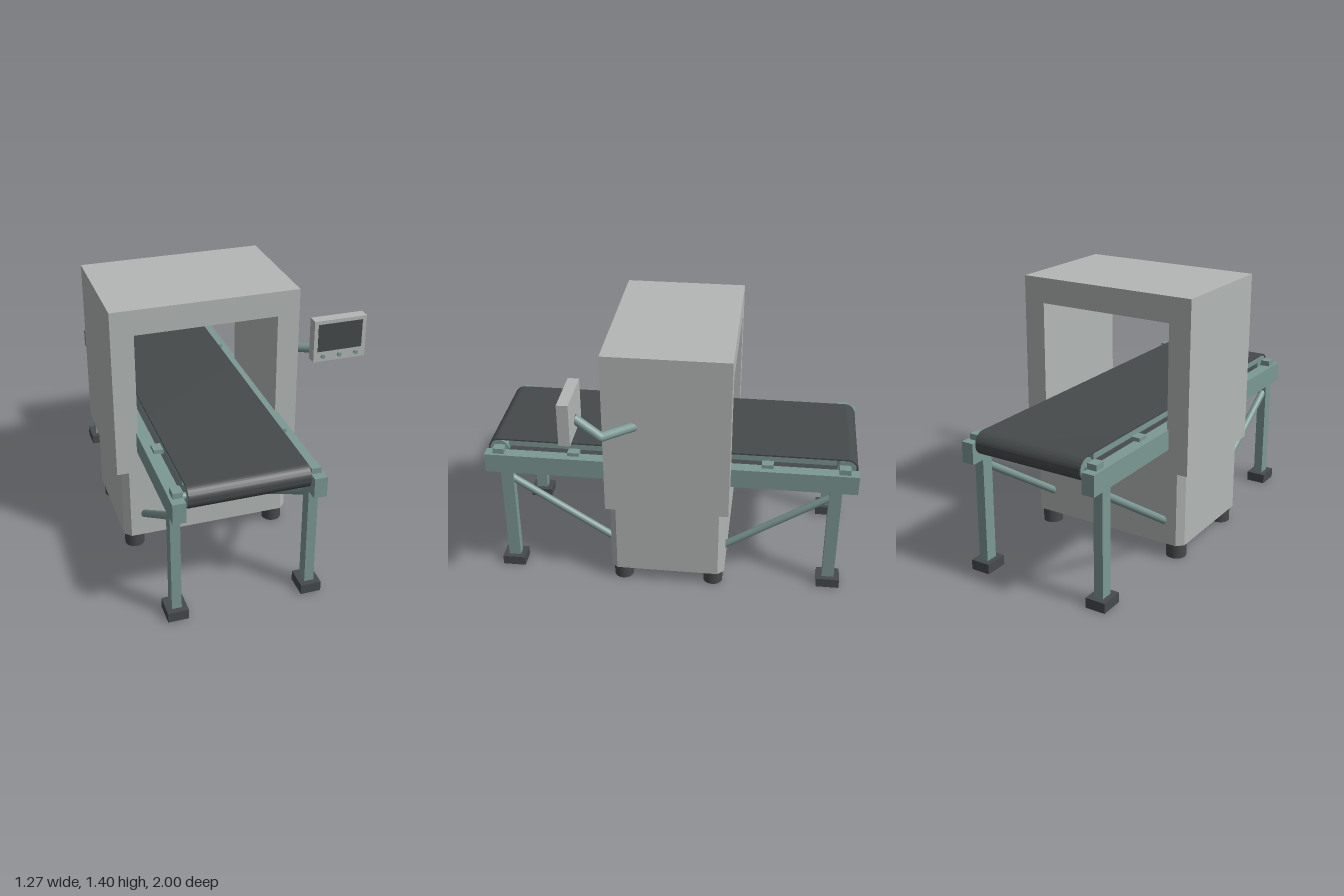
import * as THREE from 'three';
import { toCreasedNormals } from 'three/addons/utils/BufferGeometryUtils.js';

const CX = -0.15; // centre line of the conveyor and the housing

export function createModel() {
  const mat = (name, color) => {
    const m = new THREE.MeshStandardMaterial({ color });
    m.name = name;
    return m;
  };
  const grey = mat('housing grey', 0xb3b7b5);
  const teal = mat('frame teal', 0x7c9894);
  const dark = mat('rubber dark', 0x464a4b);

  const model = new THREE.Group();
  model.name = 'conveyorScanner';

  const add = (name, geo, material, x = 0, y = 0, z = 0) => {
    const mesh = new THREE.Mesh(geo, material);
    mesh.name = name;
    mesh.position.set(x, y, z);
    model.add(mesh);
    return mesh;
  };
  // Box given by its limits on each axis
  const box = (name, material, x0, x1, y0, y1, z0, z1) =>
    add(name, new THREE.BoxGeometry(x1 - x0, y1 - y0, z1 - z0), material,
      (x0 + x1) / 2, (y0 + y1) / 2, (z0 + z1) / 2);
  // Round bar between two points
  const rod = (name, material, a, b, r) => {
    const p = new THREE.Vector3(...a), q = new THREE.Vector3(...b);
    const dir = q.clone().sub(p);
    const mesh = add(name, new THREE.CylinderGeometry(r, r, dir.length(), 20), material);
    mesh.position.copy(p).add(q).multiplyScalar(0.5);
    mesh.quaternion.setFromUnitVectors(new THREE.Vector3(0, 1, 0), dir.normalize());
    return mesh;
  };
  const rectangle = (P, x0, x1, y0, y1) =>
    new P().moveTo(x0, y0).lineTo(x1, y0).lineTo(x1, y1).lineTo(x0, y1).closePath();
  const extrude = (shape, depth) =>
    new THREE.ExtrudeGeometry(shape, { depth, bevelEnabled: false, curveSegments: 20 });

  // Portal housing with its tunnel
  const portal = rectangle(THREE.Shape, -0.64, 0.336, 0.49, 1.396);
  portal.holes.push(rectangle(THREE.Path, -0.522, 0.22, 0.637, 1.263));
  add('portalHousing', extrude(portal, 0.66), grey, 0, 0, -0.33);

  // Base cabinet with chamfered corners
  const w = 0.458, d = 0.313, c = 0.034;
  const plan = new THREE.Shape([
    [w, -d + c], [w, d - c], [w - c, d], [-w + c, d],
    [-w, d - c], [-w, -d + c], [-w + c, -d], [w - c, -d],
  ].map(([x, y]) => new THREE.Vector2(x, y)));
  const base = extrude(plan, 0.41);
  base.rotateX(-Math.PI / 2);
  add('baseCabinet', base, grey, CX, 0.08, 0);

  // Belt loop around the two end rollers
  const beltY = 0.715, rollerZ = 0.935;
  const loop = (P, r) => {
    const p = new P();
    p.moveTo(-rollerZ, -r).lineTo(rollerZ, -r);
    p.absarc(rollerZ, 0, r, -Math.PI / 2, Math.PI / 2, false);
    p.lineTo(-rollerZ, r);
    p.absarc(-rollerZ, 0, r, Math.PI / 2, Math.PI * 1.5, false);
    return p;
  };
  const beltShape = loop(THREE.Shape, 0.06);
  beltShape.holes.push(loop(THREE.Path, 0.052));
  const belt = toCreasedNormals(extrude(beltShape, 0.602), 0.5);
  belt.rotateY(-Math.PI / 2);
  add('belt', belt, dark, 0.151, beltY, 0);
  box('sliderBed', teal, -0.449, 0.149, 0.735, 0.766, -0.88, 0.88);

  for (const sz of [-1, 1]) {
    rod('roller', teal, [-0.449, beltY, sz * rollerZ], [0.149, beltY, sz * rollerZ], 0.051);
    rod('rollerShaft', teal, [-0.48, beltY, sz * rollerZ], [0.18, beltY, sz * rollerZ], 0.018);
  }

  for (const sx of [-1, 1]) {
    const x = CX + sx * 0.348;
    box('sideRail', teal, x - 0.033, x + 0.033, 0.612, 0.72, -1, 1);

    for (const sz of [-1, 1]) {
      const legZ = sz * 0.885;
      box('leg', teal, x - 0.025, x + 0.025, 0.05, 0.612, legZ - 0.033, legZ + 0.033);
      box('legFoot', dark, x - 0.053, x + 0.053, 0, 0.053, legZ - 0.063, legZ + 0.063);
      rod('brace', teal, [x, 0.57, sz * 0.87], [x, 0.2, sz * 0.295], 0.02);

      const bx = CX + sx * 0.341;
      box('bearingBlock', teal, bx - 0.025, bx + 0.025, 0.71, 0.75, sz * 0.925 - 0.03, sz * 0.925 + 0.03);
      const kx = CX + sx * 0.322;
      box('bedBracket', teal, kx - 0.025, kx + 0.025, 0.715, 0.74, sz * 0.52 - 0.031, sz * 0.52 + 0.031);

      add('cabinetFoot', new THREE.CylinderGeometry(0.053, 0.053, 0.08, 24), dark,
        CX + sx * 0.395, 0.04, sz * 0.25);
    }
  }

  // Bent arm carrying the control panel
  const elbow = [0.495, 1.035, 0.305];
  rod('armLower', teal, [0.32, 1.003, 0.165], elbow, 0.025);
  rod('armUpper', teal, elbow, [0.495, 1.135, 0.435], 0.025);
  add('armElbow', new THREE.SphereGeometry(0.025, 20, 12), teal, ...elbow);

  // Control panel with screen and buttons
  box('controlPanel', grey, 0.355, 0.635, 1.057, 1.279, 0.427, 0.484);
  box('screen', dark, 0.376, 0.612, 1.113, 1.26, 0.483, 0.488);
  for (const x of [0.405, 0.494, 0.583]) {
    rod('button', teal, [x, 1.085, 0.48], [x, 1.085, 0.494], 0.011);
  }

  return model;
}
